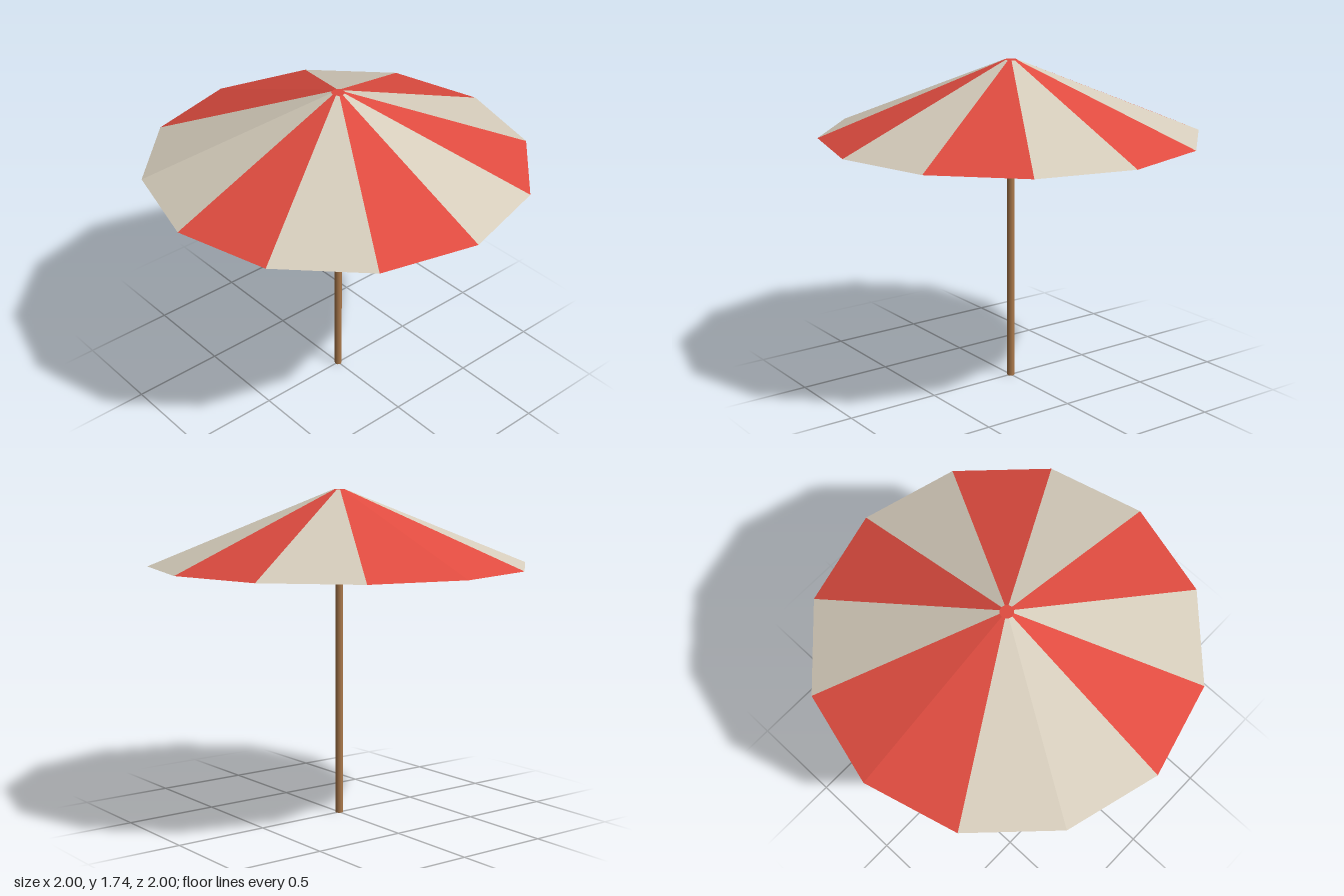
import * as THREE from 'three';

const SIDES = 12, RIM = 1.0, CROWN = 0.035, RIM_Y = 1.345, TOP_Y = 1.735;

function material(name, color) {
  const m = new THREE.MeshStandardMaterial({ color });
  m.name = name;
  return m;
}

export function createModel() {
  const red = material('red', 0xe04c40);
  const cream = material('cream', 0xd6cdbc);
  const wood = material('wood', 0xac7a4c);

  const model = new THREE.Group();
  model.name = 'parasol';
  const add = (parent, name, geometry, mat, y = 0) => {
    const mesh = new THREE.Mesh(geometry, mat);
    mesh.name = name;
    mesh.position.y = y;
    parent.add(mesh);
    return mesh;
  };

  // Pole
  add(model, 'pole', new THREE.CylinderGeometry(0.02, 0.02, RIM_Y, 8), wood, RIM_Y / 2);

  // Canopy panels, counted from the front towards +x; r = red, c = cream
  const canopy = new THREE.Group();
  canopy.name = 'canopy';
  model.add(canopy);
  const step = (Math.PI * 2) / SIDES;
  [...'crcrcrrccrcr'].forEach((c, i) => {
    const panel = new THREE.CylinderGeometry(
      CROWN, RIM, TOP_Y - RIM_Y, 1, 1, true, i * step, step).toNonIndexed();
    panel.computeVertexNormals(); // flat facets
    add(canopy, `panel${i + 1}`, panel, c === 'r' ? red : cream, (TOP_Y + RIM_Y) / 2);
  });

  // Flat crown on top and closed underside
  add(canopy, 'crown', new THREE.CircleGeometry(CROWN, SIDES), red, TOP_Y).rotation.x = -Math.PI / 2;
  add(canopy, 'underside', new THREE.CircleGeometry(RIM, SIDES), cream, RIM_Y).rotation.x = Math.PI / 2;

  return model;
}
